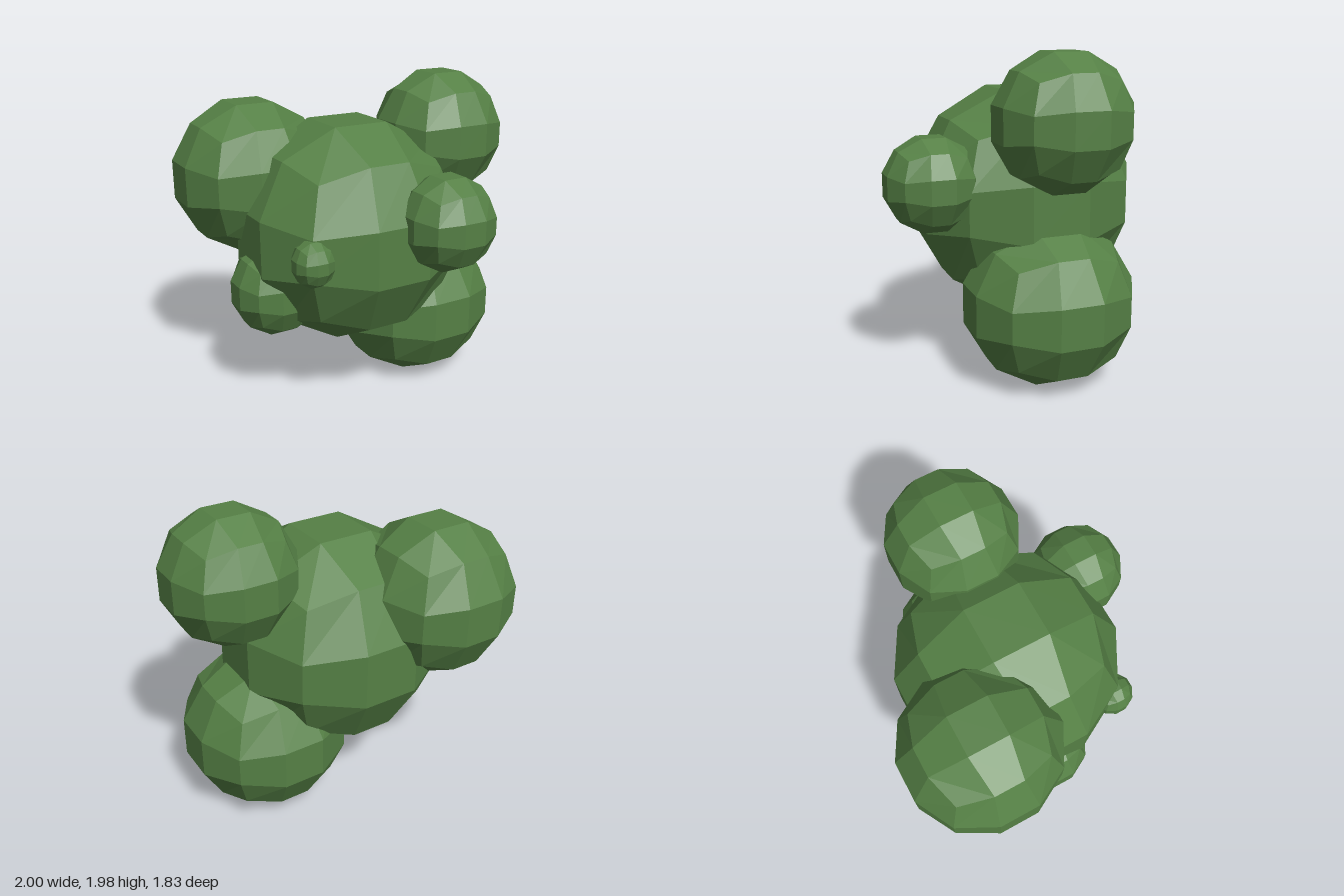
import * as THREE from 'three';

// Rounded cube with 3 x 3 quads per face, touching +-1 on every axis
function createBlob() {
  const box = new THREE.BoxGeometry(2, 2, 2, 3, 3, 3);
  const pos = box.attributes.position;
  const inner = 0.26; // grid line position that evens out the quads
  const reach = Math.sqrt(1 + 2 * inner * inner);
  const v = new THREE.Vector3();
  const even = (c) => (Math.abs(c) > 0.9 ? c : Math.sign(c) * inner);
  for (let i = 0; i < pos.count; i++) {
    v.fromBufferAttribute(pos, i);
    v.set(even(v.x), even(v.y), even(v.z)).setLength(reach);
    pos.setXYZ(i, v.x, v.y, v.z);
  }
  const faceted = box.toNonIndexed();
  faceted.computeVertexNormals();
  return faceted;
}

export function createModel() {
  const group = new THREE.Group();
  const blob = createBlob();
  const leaf = new THREE.MeshStandardMaterial({ color: 0x558045, flatShading: true });

  // name, centre, radii
  const clumps = [
    ['mainFoliage', [-0.065, 1.055, -0.025], [0.675, 0.675, 0.675]],
    ['lowerLeftFoliage', [0.422, 0.481, -0.02], [0.5, 0.481, 0.5]],
    ['upperLeftFoliage', [0.61, 1.59, -0.02], [0.388, 0.39, 0.388]],
    ['upperRightFoliage', [-0.535, 1.355, -0.45], [0.465, 0.468, 0.465]],
    ['lowerRightFoliage', [-0.575, 0.73, -0.03], [0.265, 0.28, 0.265]],
    ['frontFoliage', [0.223, 1.213, 0.637], [0.275, 0.276, 0.275]],
    ['smallFrontFoliage', [-0.555, 1.047, 0.455], [0.12, 0.135, 0.125]],
  ];
  for (const [name, centre, radii] of clumps) {
    const mesh = new THREE.Mesh(blob, leaf);
    mesh.name = name;
    mesh.position.set(...centre);
    mesh.scale.set(...radii);
    group.add(mesh);
  }
  return group;
}
